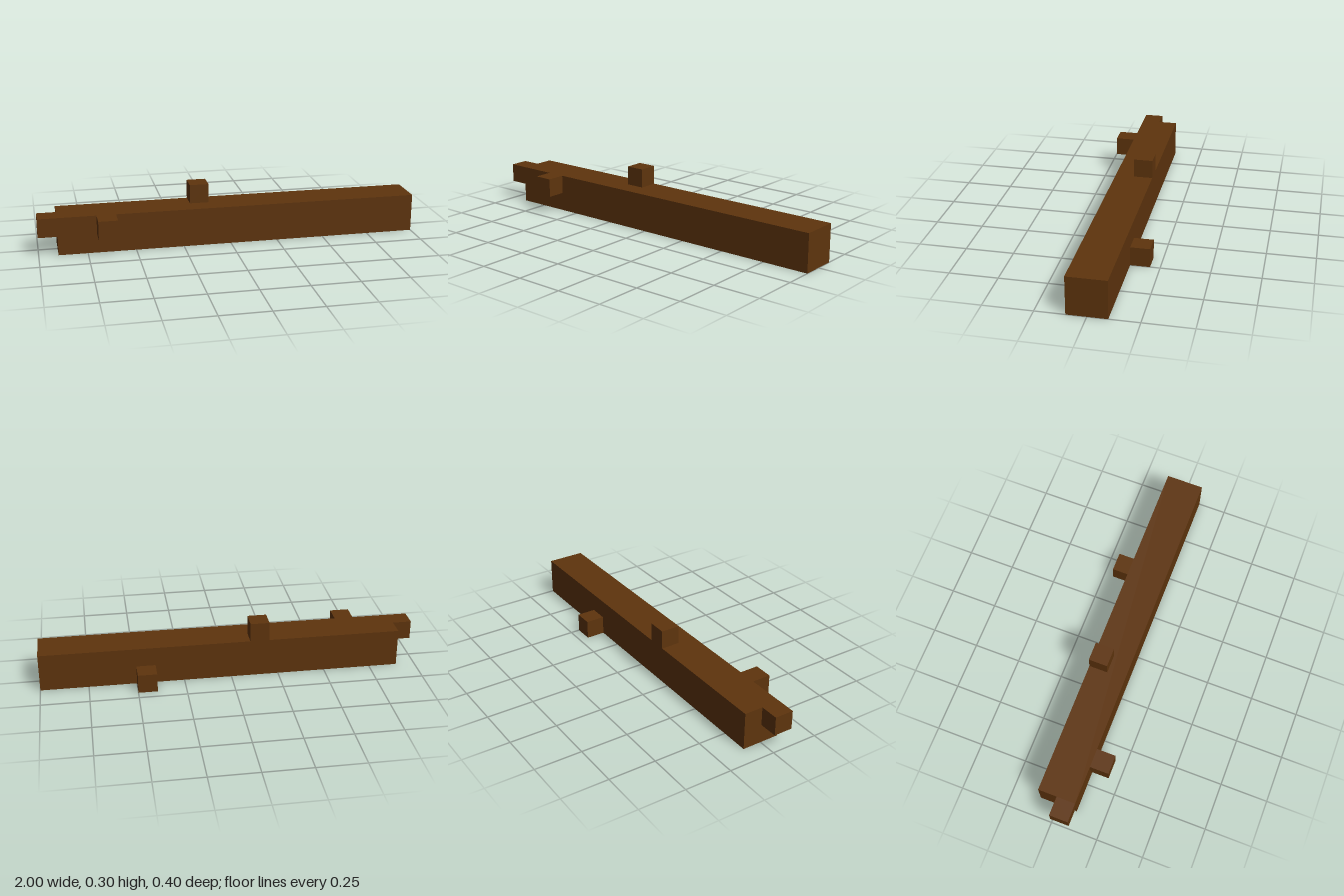
import * as THREE from 'three';

export function createModel() {
  const model = new THREE.Group();
  model.name = 'log';
  const bark = new THREE.MeshStandardMaterial({ color: 0x5e340d });
  bark.name = 'brown bark';

  // Adds a box by its size and centre
  const addBox = (name, size, centre) => {
    const mesh = new THREE.Mesh(new THREE.BoxGeometry(...size), bark);
    mesh.name = name;
    mesh.position.set(...centre);
    model.add(mesh);
  };

  // Long square trunk
  addBox('trunk', [1.9, 0.2, 0.2], [0.05, 0.1, 0]);

  // Cubic branch stubs, one on each of four sides
  const stub = [0.1, 0.1, 0.1];
  addBox('endStub', stub, [-0.95, 0.15, 0.05]);
  addBox('frontStub', stub, [-0.65, 0.15, 0.15]);
  addBox('topStub', stub, [-0.15, 0.25, -0.05]);
  addBox('backStub', stub, [0.45, 0.05, -0.15]);

  return model;
}
